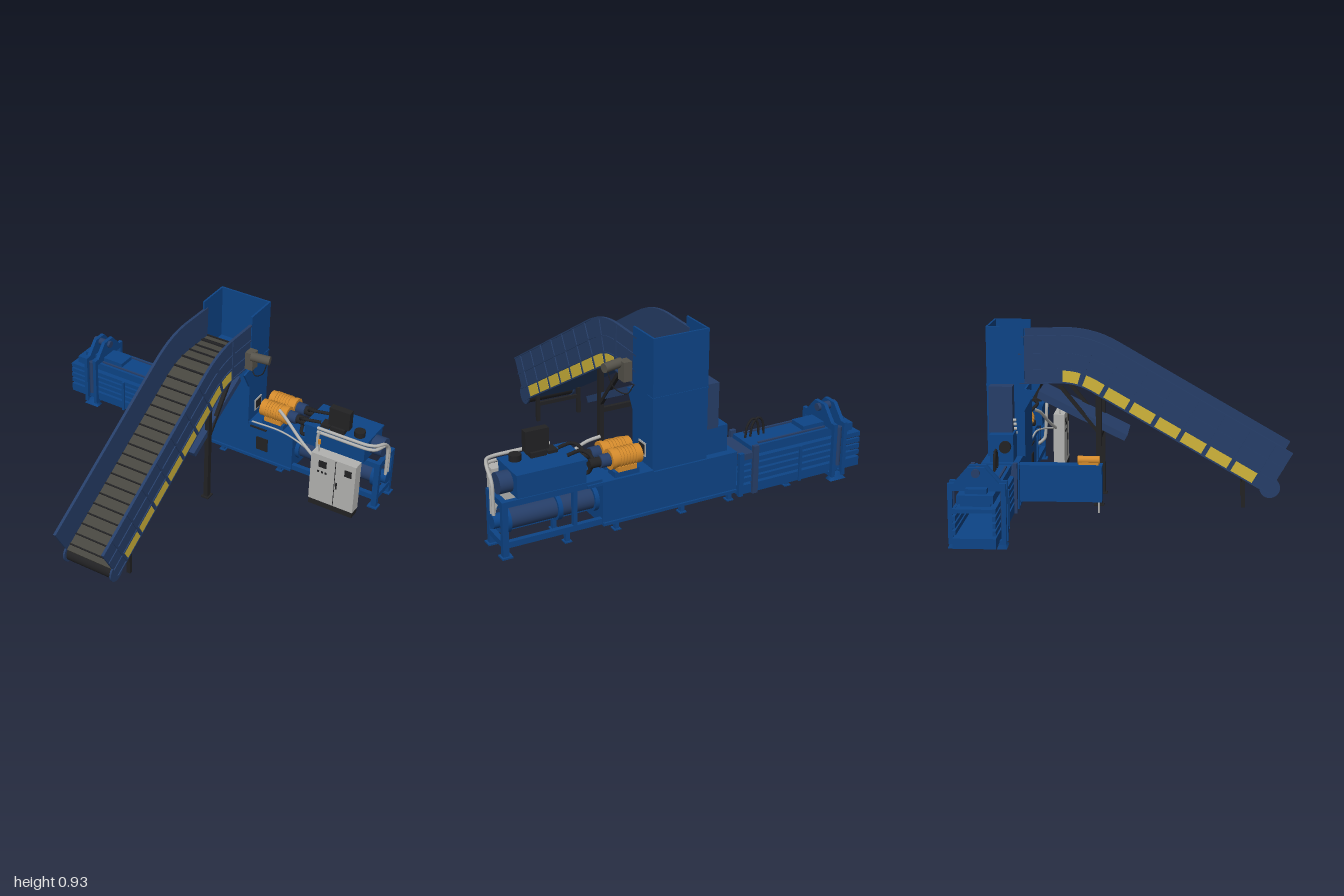
import * as THREE from 'three';

const mat = (name, color) => Object.assign(new THREE.MeshStandardMaterial({ color }), { name });

export function createModel() {
  const model = new THREE.Group();
  const blue = mat('blue paint', 0x0d4486), navy = mat('navy paint', 0x263e68);
  const yellow = mat('yellow guard', 0xcfb43a), orange = mat('orange motor', 0xd38a2c);
  const grey = mat('light grey', 0xb2b2b0), black = mat('black', 0x222224);
  const belt = mat('belt grey', 0x47463f), castGrey = mat('cast grey', 0x56534b);

  const add = (name, geo, m) => {
    const mesh = new THREE.Mesh(geo, m);
    mesh.name = name;
    model.add(mesh);
    return mesh;
  };
  // Box from its limits
  const box = (name, m, x0, x1, y0, y1, z0, z1) => add(name,
    new THREE.BoxGeometry(x1 - x0, y1 - y0, Math.abs(z1 - z0)).translate((x0 + x1) / 2, (y0 + y1) / 2, (z0 + z1) / 2), m);
  // Cylinder between two points
  const rod = (name, m, a, b, r, n = 20) => {
    const A = new THREE.Vector3(...a), d = new THREE.Vector3(...b).sub(A);
    const mesh = add(name, new THREE.CylinderGeometry(r, r, d.length(), n), m);
    mesh.position.copy(A).addScaledVector(d, 0.5);
    mesh.quaternion.setFromUnitVectors(new THREE.Vector3(0, 1, 0), d.normalize());
    return mesh;
  };
  const pipe = (name, m, pts, r, tension = 0.5) => add(name, new THREE.TubeGeometry(
    new THREE.CatmullRomCurve3(pts.map(p => new THREE.Vector3(...p)), false, 'catmullrom', tension), 40, r, 8), m);
  // Slab with a (z, y) outline, spanning x0..x1
  const slab = (name, m, pts, x0, x1) => add(name,
    new THREE.ExtrudeGeometry(new THREE.Shape(pts.map(p => new THREE.Vector2(...p))), { depth: x1 - x0, bevelEnabled: false })
      .rotateY(-Math.PI / 2).translate(x1, 0, 0), m);

  // ---- Conveyor: straight 30 degree climb, arc, then level head ----
  const L = 1.05, R = 0.30, TILT = Math.PI / 6, END = -0.03, ARC = R * (TILT - END), S = L + ARC + 0.2;
  const at = (s, h) => {
    const a = s < L ? TILT : Math.max(END, TILT - (s - L) / R);
    let z = 0.687 - Math.min(s, L) * Math.cos(TILT), y = 0.076 + Math.min(s, L) * Math.sin(TILT);
    if (s > L) {
      z -= R * (Math.sin(TILT) - Math.sin(a));
      y += R * (Math.cos(a) - Math.cos(TILT));
    }
    const over = Math.max(0, s - L - ARC);
    return [z - over * Math.cos(a) + h * Math.sin(a), y + over * Math.sin(a) + h * Math.cos(a)];
  };
  const band = (name, m, s0, s1, h0, h1, x0, x1) => {
    const n = s1 <= L ? 1 : Math.ceil((s1 - s0) / 0.025), low = [], high = [];
    for (let i = 0; i <= n; i++) {
      const s = s0 + (s1 - s0) * i / n;
      low.push(at(s, h0));
      high.unshift(at(s, h1));
    }
    return slab(name, m, low.concat(high), x0, x1);
  };
  const joints = [0.09, 0.24, 0.39, 0.54, 0.69, 0.84, 0.99, 1.11, 1.21];
  for (const [x0, x1, out] of [[-0.095, -0.085, -0.1], [0.185, 0.195, 0.2]]) {
    const r0 = Math.min(out, x0), r1 = Math.max(out, x1);
    band('conveyorSideWall', navy, 0, S, 0, 0.247, x0, x1);
    for (const h of [0, 0.068, 0.15, 0.24]) band('conveyorFlange', navy, 0, S, h, h + 0.007, r0, r1);
    joints.forEach((s, i) => {
      band('conveyorRib', navy, s - 0.006, s + 0.006, 0, 0.247, r0, r1);
      if (i < joints.length - 1) band('yellowGuard', yellow, s + 0.012, joints[i + 1] - 0.012, 0.008, 0.066,
        out < 0 ? -0.099 : 0.195, out < 0 ? -0.095 : 0.199);
    });
    rod('tailBearingHousing', navy, [x0, 0.108, 0.695], [x1, 0.108, 0.695], 0.053, 32);
  }
  band('conveyorPan', navy, 0.03, S, 0, 0.01, -0.085, 0.185);
  band('conveyorBelt', belt, 0, S, 0.06, 0.078, -0.085, 0.185);
  for (let s = 0.03; s < S; s += 0.06) band('beltSlat', black, s, s + 0.007, 0.078, 0.086, -0.084, 0.184);
  rod('tailRoller', black, [-0.085, 0.105, 0.69], [0.185, 0.105, 0.69], 0.043, 24);
  rod('headRoller', black, [-0.085, 0.69, -0.535], [0.185, 0.69, -0.535], 0.028, 24);

  // Conveyor legs and spill tray
  for (const x of [-0.075, 0.175]) {
    box('frontLeg', black, x - 0.01, x + 0.01, 0, 0.15, 0.55, 0.57);
    box('rearLeg', black, x - 0.012, x + 0.012, 0, 0.58, -0.195, -0.165);
    box('legFoot', black, x - 0.022, x + 0.022, 0, 0.008, -0.205, -0.155);
    slab('legBrace', black, [[-0.18, 0.37], [-0.18, 0.395], [-0.365, 0.625], [-0.39, 0.625]], x - 0.01, x + 0.01);
  }
  box('frontLegCrossbar', black, -0.075, 0.175, 0.09, 0.11, 0.552, 0.568);
  box('rearLegCrossbar', black, -0.075, 0.175, 0.34, 0.365, -0.19, -0.17);
  slab('spillTray', navy, [[-0.05, 0.342], [-0.033, 0.372], [-0.485, 0.598], [-0.497, 0.562]], -0.08, 0.18);

  // Conveyor drive
  box('driveGearbox', castGrey, 0.2, 0.245, 0.65, 0.75, -0.55, -0.495);
  rod('driveMotor', castGrey, [0.235, 0.735, -0.5], [0.335, 0.73, -0.52], 0.024);
  pipe('driveCable', black, [[0.32, 0.72, -0.52], [0.29, 0.63, -0.53], [0.23, 0.59, -0.55], [0.2, 0.64, -0.57]], 0.003);

  // ---- Feed tower, open at the top and at the conveyor mouth ----
  box('towerBack', blue, -0.1, 0.2, 0.26, 0.93, -0.75, -0.74);
  for (const x of [-0.1, 0.19]) {
    box('towerSide', blue, x, x + 0.01, 0.26, 0.93, -0.74, -0.557);
    slab('towerMouthCheek', blue, [[-0.557, 0.61], [-0.5, 0.6], [-0.557, 0.5]], x, x + 0.01);
  }
  box('towerFront', blue, -0.09, 0.19, 0.26, 0.6, -0.567, -0.557);
  box('towerSeam', blue, -0.103, 0.203, 0.628, 0.636, -0.753, -0.7);
  box('towerFloor', navy, -0.09, 0.19, 0.26, 0.27, -0.74, -0.567);
  box('inspectionFrame', grey, 0.2, 0.204, 0.31, 0.38, -0.69, -0.62);
  box('inspectionWindow', black, 0.204, 0.207, 0.32, 0.37, -0.68, -0.63);
  box('sideCabinet', navy, -0.175, -0.1, 0.4, 0.635, -0.73, -0.61);
  box('sideCabinetBase', blue, -0.235, -0.1, 0.25, 0.4, -0.72, -0.6);
  rod('sideMotor', black, [-0.26, 0.34, -0.64], [-0.23, 0.34, -0.64], 0.03);
  for (let i = 0; i < 4; i++) rod('towerBolt', grey, [-0.15 + i * 0.014, 0.46 - i * 0.025, -0.61], [-0.15 + i * 0.014, 0.46 - i * 0.025, -0.595], 0.008, 10);

  // ---- Press body ----
  box('pressBody', blue, -0.27, 0.47, 0.05, 0.26, -0.76, -0.57);
  box('pressDeck', blue, 0.2, 0.55, 0.258, 0.272, -0.765, -0.562);
  box('pressSkirt', blue, -0.27, 0.47, 0.045, 0.06, -0.77, -0.56);
  box('accessHatch', black, 0.25, 0.32, 0.11, 0.19, -0.57, -0.565);
  box('deckTrim', black, 0.21, 0.31, 0.245, 0.252, -0.57, -0.56);
  for (const x of [-0.58, -0.24, 0.03, 0.39, 0.65]) for (const z of [-0.74, -0.6]) {
    box('footPost', blue, x - 0.01, x + 0.01, 0, 0.06, z - 0.012, z + 0.012);
    box('footPlate', blue, x - 0.018, x + 0.018, 0, 0.006, z - 0.02, z + 0.02);
  }

  // Tying unit
  box('tyingUnit', blue, -0.265, -0.198, 0.065, 0.25, -0.57, -0.152);
  box('tyingUnitLid', blue, -0.268, -0.195, 0.245, 0.253, -0.57, -0.15);
  rod('tyingMotor', orange, [-0.23, 0.275, -0.275], [-0.23, 0.275, -0.165], 0.021);
  box('tyingMotorBase', orange, -0.25, -0.21, 0.253, 0.265, -0.27, -0.17);
  rod('tyingStand', grey, [-0.23, 0, -0.17], [-0.23, 0.065, -0.17], 0.005, 8);

  // ---- Bale channel with open rails ----
  box('channelFloor', blue, -1, -0.27, 0.032, 0.08, -0.78, -0.58);
  for (const z of [-0.78, -0.595]) for (let i = 0; i < 4; i++)
    box('channelRail', blue, -1, -0.27, 0.094 + i * 0.034, 0.117 + i * 0.034, z, z + 0.015);
  box('channelRoof', blue, -1, -0.27, 0.2, 0.218, -0.78, -0.58);
  box('channelTopPlate', blue, -0.96, -0.35, 0.232, 0.272, -0.765, -0.595);
  box('channelTopCore', blue, -0.95, -0.36, 0.218, 0.232, -0.75, -0.61);
  for (const z of [-0.75, -0.62]) box('topPlateRib', navy, -0.8, -0.4, 0.272, 0.28, z, z + 0.01);
  for (const z of [-0.795, -0.585]) {
    box('channelPost', navy, -0.375, -0.345, 0.03, 0.285, z, z + 0.02);
    box('channelPost', blue, -0.29, -0.265, 0.03, 0.26, z, z + 0.02);
    box('channelPost', blue, -0.64, -0.625, 0.03, 0.22, z + 0.007, z + 0.018);
  }
  box('channelCollar', navy, -0.36, -0.27, 0.218, 0.25, -0.785, -0.575);
  for (const x of [-0.46, -0.43]) pipe('channelHose', black,
    [[x - 0.03, 0.27, -0.66], [x - 0.02, 0.34, -0.66], [x + 0.01, 0.365, -0.66], [x + 0.04, 0.33, -0.66], [x + 0.05, 0.27, -0.66]], 0.006);

  // Squeeze clamp around the channel
  for (const x of [-0.885, -0.825]) {
    for (const z of [-0.82, -0.57]) box('clampPost', blue, x, x + 0.02, 0.03, 0.3, z, z + 0.022);
    box('clampBeam', blue, x, x + 0.02, 0.275, 0.31, -0.82, -0.548);
    box('clampSill', blue, x, x + 0.02, 0.02, 0.04, -0.82, -0.548);
    slab('clampBracket', blue, [[-0.79, 0.31], [-0.58, 0.31], [-0.645, 0.385], [-0.725, 0.385]], x, x + 0.02);
  }
  rod('clampPin', navy, [-0.9, 0.36, -0.685], [-0.79, 0.36, -0.685], 0.02);
  for (const z of [-0.805, -0.565]) rod('clampCylinder', navy, [-0.845, 0.08, z], [-0.845, 0.29, z], 0.014);
  box('clampBase', blue, -0.93, -0.68, 0.272, 0.295, -0.73, -0.63);
  for (const z of [-0.8, -0.57]) {
    const foot = add('clampFoot', new THREE.CylinderGeometry(0.028, 0.065, 0.034, 4, 1).rotateY(Math.PI / 4).scale(1, 1, 0.5), blue);
    foot.position.set(-0.845, 0.017, z);
  }

  // ---- Ram frame ----
  for (const z of [-0.755, -0.6]) {
    box('lowerRail', blue, 0.47, 0.98, 0.05, 0.08, z, z + 0.025);
    box('upperRail', blue, 0.47, 0.98, 0.255, 0.285, z, z + 0.025);
    box('endPost', blue, 0.95, 0.98, 0, 0.285, z, z + 0.025);
    box('endFoot', blue, 0.935, 0.99, 0, 0.008, z - 0.012, z + 0.037);
    box('middlePost', blue, 0.6, 0.62, 0.08, 0.255, z, z + 0.025);
  }
  for (const y of [0.05, 0.255]) box('endCrossbar', blue, 0.952, 0.978, y, y + 0.03, -0.74, -0.59);
  rod('ramCylinder', navy, [0.47, 0.155, -0.665], [0.95, 0.155, -0.665], 0.052, 28);
  for (const x of [0.47, 0.66, 0.92]) rod('ramFlange', blue, [x, 0.155, -0.665], [x + 0.022, 0.155, -0.665], 0.066, 28);
  rod('ramEndCap', blue, [0.95, 0.155, -0.665], [0.995, 0.155, -0.665], 0.035);

  // ---- Hydraulic tank, pumps and motors ----
  box('oilTank', blue, 0.55, 0.9, 0.285, 0.4, -0.75, -0.545);
  box('oilTankLid', blue, 0.545, 0.905, 0.395, 0.405, -0.757, -0.538);
  rod('oilCooler', navy, [0.9, 0.34, -0.66], [0.965, 0.34, -0.66], 0.052, 28);
  box('valveBlock', black, 0.67, 0.79, 0.43, 0.535, -0.61, -0.57);
  box('valveBase', black, 0.69, 0.77, 0.405, 0.43, -0.625, -0.555);
  rod('tankFilter', black, [0.84, 0.405, -0.6], [0.84, 0.435, -0.6], 0.03);
  box('tankManifold', black, 0.63, 0.68, 0.405, 0.42, -0.62, -0.56);
  for (const z of [-0.715, -0.62]) {
    rod('pumpMotor', orange, [0.255, 0.358, z], [0.4, 0.358, z], 0.046, 24);
    for (let i = 0; i < 6; i++) rod('motorFin', orange, [0.285 + i * 0.016, 0.358, z], [0.291 + i * 0.016, 0.358, z], 0.05, 24);
    rod('motorFlange', orange, [0.395, 0.358, z], [0.415, 0.358, z], 0.05, 24);
    box('motorFoot', orange, 0.285, 0.385, 0.3, 0.325, z - 0.04, z + 0.04);
    box('motorStand', blue, 0.27, 0.4, 0.272, 0.3, z - 0.035, z + 0.035);
    rod('pumpCoupling', navy, [0.415, 0.358, z], [0.465, 0.358, z], 0.032);
    rod('pump', black, [0.465, 0.358, z], [0.52, 0.358, z], 0.024);
    pipe('pumpHose', black, [[0.49, 0.36, z], [0.5, 0.39, z + 0.03], [0.54, 0.41, z + 0.05], [0.62, 0.41, z + 0.03]], 0.009);
    pipe('suctionHose', black, [[0.5, 0.35, z], [0.51, 0.3, z + 0.03], [0.56, 0.31, z + 0.03]], 0.01);
  }

  // Hydraulic pipes
  for (const [i, y] of [0.415, 0.39].entries()) {
    pipe('pressurePipe', grey, [[0.63, y, -0.53], [0.9, y, -0.53], [0.96, y, -0.55],
      [0.982, y - 0.01, -0.6 - i * 0.03], [0.985, y - 0.06, -0.645 - i * 0.02], [0.985, 0.17, -0.65 - i * 0.02]], 0.009, 0.3);
  }
  pipe('returnPipe', grey, [[0.65, 0.4, -0.53], [0.635, 0.36, -0.53], [0.635, 0.2, -0.54], [0.64, 0.15, -0.6]], 0.009, 0.3);
  pipe('cableDuct', grey, [[0.38, 0.41, -0.57], [0.45, 0.38, -0.54], [0.55, 0.31, -0.51], [0.66, 0.25, -0.48]], 0.009);
  pipe('deckCable', grey, [[0.22, 0.28, -0.565], [0.4, 0.285, -0.56], [0.55, 0.27, -0.53], [0.66, 0.25, -0.48]], 0.005);

  // ---- Control cabinet ----
  box('cabinetPlinth', black, 0.655, 0.91, 0, 0.032, -0.49, -0.43);
  box('controlCabinet', grey, 0.652, 0.912, 0.032, 0.327, -0.494, -0.432);
  box('cabinetDoorGap', black, 0.795, 0.798, 0.035, 0.322, -0.432, -0.43);
  box('cabinetDisplay', black, 0.7, 0.745, 0.255, 0.295, -0.432, -0.428);
  box('cabinetVent', black, 0.85, 0.89, 0.25, 0.29, -0.432, -0.429);
  for (let i = 0; i < 3; i++) box('cabinetSwitch', black, 0.695 + i * 0.022, 0.705 + i * 0.022, 0.22, 0.23, -0.432, -0.427);
  box('cabinetHandle', black, 0.805, 0.812, 0.15, 0.19, -0.432, -0.426);
  rod('warningLamp', orange, [0.68, 0.375, -0.46], [0.68, 0.4, -0.46], 0.008, 12);
  rod('warningLampPole', grey, [0.68, 0.327, -0.46], [0.68, 0.375, -0.46], 0.005, 10);

  return model;
}
